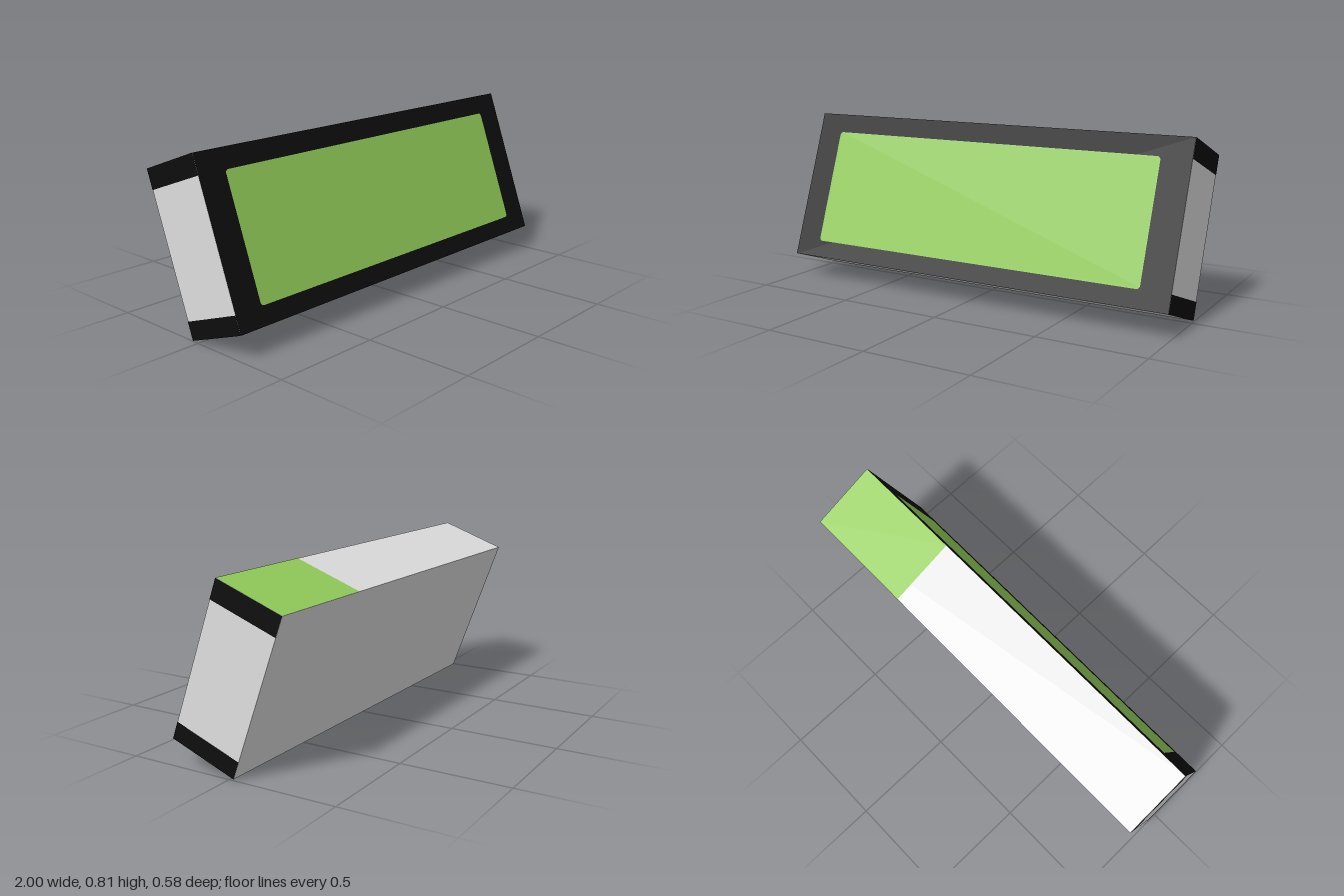
import * as THREE from 'three';

const W = 1.996, H = 0.737, D = 0.33;   // case size
const BAND_TOP = 0.092, BAND_LOW = 0.082;
const LIFT = 0.001;                     // painted faces sit just off the case

const mat = (name, color) => {
  const m = new THREE.MeshStandardMaterial({ color });
  m.name = name;
  return m;
};

function roundedRect(x0, x1, y0, y1, r) {
  const s = new THREE.Shape();
  s.absarc(x1 - r, y0 + r, r, -Math.PI / 2, 0);
  s.absarc(x1 - r, y1 - r, r, 0, Math.PI / 2);
  s.absarc(x0 + r, y1 - r, r, Math.PI / 2, Math.PI);
  s.absarc(x0 + r, y0 + r, r, Math.PI, Math.PI * 1.5);
  s.closePath();
  return s;
}

export function createModel() {
  const white = mat('lightGreyCase', 0xdedede);
  const black = mat('blackFrame', 0x0d0d0d);
  const green = mat('screenGreen', 0x92cb59);

  const model = new THREE.Group();
  model.name = 'displayBox';

  const add = (name, geometry, material, x = 0, y = 0, z = 0) => {
    const mesh = new THREE.Mesh(geometry, material);
    mesh.name = name;
    mesh.position.set(x, y, z);
    model.add(mesh);
    return mesh;
  };

  // Case: light on all sides, black on the front face
  add('case', new THREE.BoxGeometry(W, H, D), [white, white, white, white, black, white]);

  // Screen with slightly rounded corners
  const screen = roundedRect(-0.865, 0.86, -H / 2 + BAND_LOW, H / 2 - BAND_TOP, 0.016);
  add('screen', new THREE.ShapeGeometry(screen, 5), green, 0, 0, D / 2 + LIFT);

  // Black bands along the top and bottom of both ends
  for (const side of [1, -1]) {
    for (const [name, h, y] of [
      ['upperEndBand', BAND_TOP, H / 2 - BAND_TOP / 2],
      ['lowerEndBand', BAND_LOW, -H / 2 + BAND_LOW / 2],
    ]) {
      const band = add(name, new THREE.PlaneGeometry(D, h), black, side * (W / 2 + LIFT), y, 0);
      band.rotation.y = side * Math.PI / 2;
    }
  }

  // Green patch on the left part of the top
  const x0 = 0.455;
  const patch = add('topPatch', new THREE.PlaneGeometry(W / 2 - x0, D), green,
    (W / 2 + x0) / 2, H / 2 + LIFT, 0);
  patch.rotation.x = -Math.PI / 2;

  // Leaning back, with a very slight turn
  model.rotation.set(-20 * Math.PI / 180, -0.008, 0);
  model.position.y = 0.406;

  const root = new THREE.Group();
  root.name = 'model';
  root.add(model);
  return root;
}
